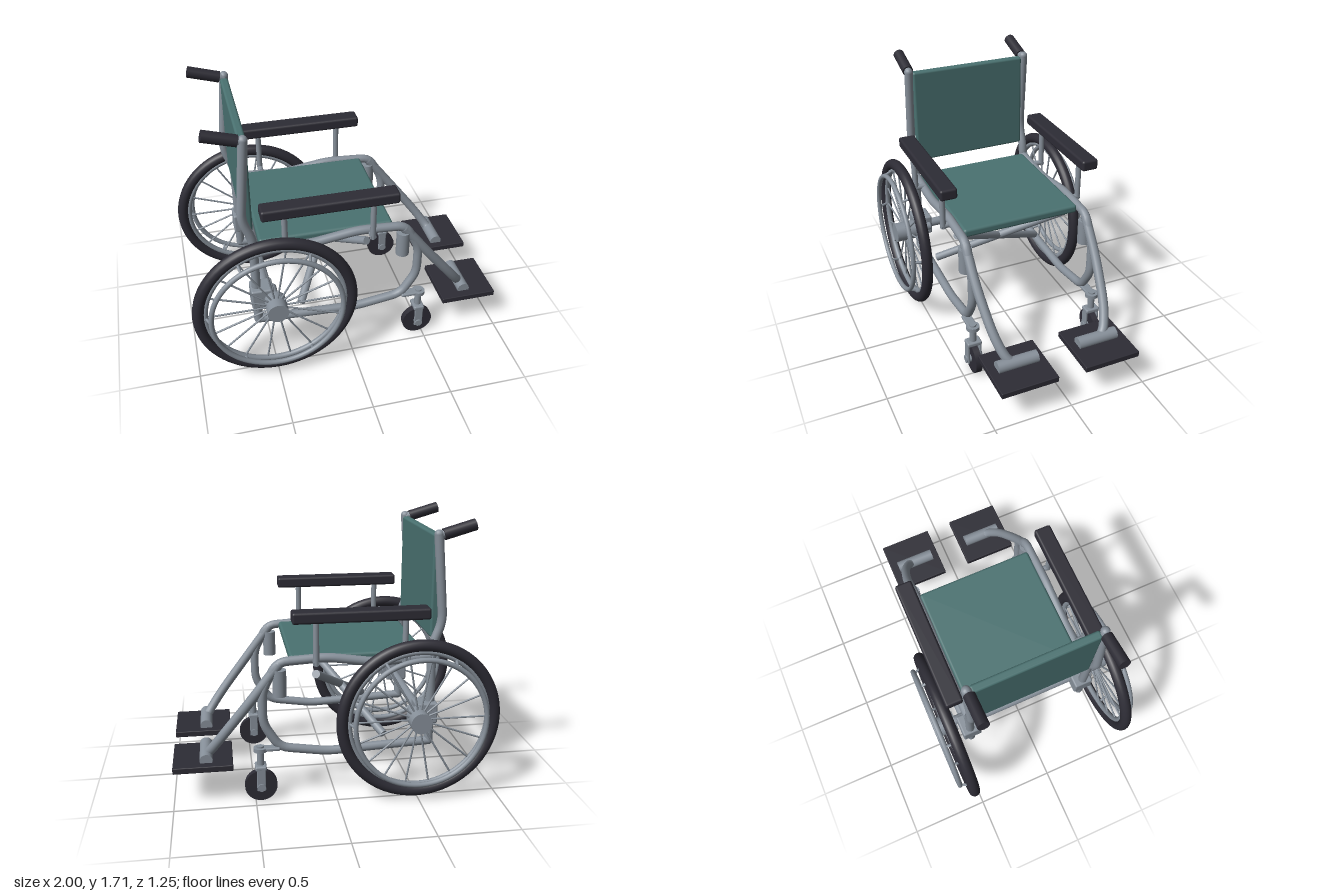
import * as THREE from 'three';
import { RoundedBoxGeometry } from 'three/addons/geometries/RoundedBoxGeometry.js';

export function createModel() {
  const mat = (name, color) => {
    const m = new THREE.MeshStandardMaterial({ color });
    m.name = name;
    return m;
  };
  const metal = mat('greyMetal', 0x87909a);
  const rubber = mat('darkRubber', 0x2d2c35);
  const fabric = mat('tealFabric', 0x4a7271);

  const V = (x, y, z) => new THREE.Vector3(x, y, z);
  const add = (parent, name, geometry, material, x = 0, y = 0, z = 0) => {
    const m = new THREE.Mesh(geometry, material);
    m.name = name;
    m.position.set(x, y, z);
    parent.add(m);
    return m;
  };
  const box = (parent, name, material, size, pos, r = 0.01) =>
    add(parent, name, new RoundedBoxGeometry(...size, 2, r), material, ...pos);

  // straight round bar between two points
  const bar = (parent, name, a, b, r, material = metal, sides = 16) => {
    const d = b.clone().sub(a);
    const m = add(parent, name, new THREE.CylinderGeometry(r, r, d.length(), sides), material);
    m.position.copy(a).addScaledVector(d, 0.5);
    m.quaternion.setFromUnitVectors(V(0, 1, 0), d.normalize());
    return m;
  };

  // bent tube: straight runs joined by rounded corners, with domed ends
  const pipe = (parent, name, pts, r, bend = 0.06) => {
    const path = new THREE.CurvePath();
    let from = pts[0];
    for (let i = 1; i < pts.length - 1; i++) {
      const p = pts[i];
      const toward = q => p.clone().add(q.clone().sub(p).setLength(Math.min(bend, p.distanceTo(q) * 0.45)));
      const a = toward(pts[i - 1]), b = toward(pts[i + 1]);
      path.add(new THREE.LineCurve3(from, a));
      path.add(new THREE.QuadraticBezierCurve3(a, p, b));
      from = b;
    }
    const end = pts[pts.length - 1];
    path.add(new THREE.LineCurve3(from, end));
    add(parent, name, new THREE.TubeGeometry(path, 90, r, 14), metal);
    for (const p of [pts[0], end]) add(parent, name + 'End', new THREE.SphereGeometry(r, 14, 10), metal, p.x, p.y, p.z);
  };

  // large rear wheel; s is the outward z direction
  const rearWheel = s => {
    const g = new THREE.Group();
    g.name = 'rearWheel';
    add(g, 'tire', new THREE.TorusGeometry(0.471, 0.036, 16, 72), rubber);
    add(g, 'rim', new THREE.TorusGeometry(0.43, 0.018, 12, 72), metal);
    add(g, 'handRim', new THREE.TorusGeometry(0.402, 0.016, 12, 72), metal, 0, 0, s * 0.072);
    bar(g, 'hub', V(0, 0, -s * 0.06), V(0, 0, s * 0.072), 0.065, metal, 28);
    const spokes = 18, tabs = 6;
    for (let i = 0; i < spokes; i++) {
      const a = i / spokes * Math.PI * 2;
      bar(g, 'spoke', V(Math.cos(a) * 0.05, Math.sin(a) * 0.05, 0), V(Math.cos(a) * 0.425, Math.sin(a) * 0.425, 0), 0.006, metal, 8);
    }
    for (let i = 0; i < tabs; i++) {
      const a = i / tabs * Math.PI * 2;
      bar(g, 'handRimTab', V(Math.cos(a) * 0.43, Math.sin(a) * 0.43, 0), V(Math.cos(a) * 0.402, Math.sin(a) * 0.402, s * 0.072), 0.009, metal, 8);
    }
    g.position.set(-0.492, 0.523, s * 0.537);
    return g;
  };

  // small swivelling front wheel with its fork
  const caster = s => {
    const g = new THREE.Group();
    g.name = 'caster';
    bar(g, 'casterTire', V(0, 0.1, -0.02), V(0, 0.1, 0.02), 0.1, rubber, 32);
    bar(g, 'casterAxle', V(0, 0.1, -0.055), V(0, 0.1, 0.055), 0.025);
    for (const k of [-1, 1]) box(g, 'forkLeg', metal, [0.055, 0.15, 0.014], [0, 0.15, k * 0.04], 0.005);
    box(g, 'forkCrown', metal, [0.07, 0.03, 0.095], [0, 0.222, 0]);
    bar(g, 'casterStem', V(0, 0.22, 0), V(0, 0.36, 0), 0.022);
    bar(g, 'stemCollar', V(0, 0.325, 0), V(0, 0.35, 0), 0.042);
    box(g, 'casterBracket', metal, [0.14, 0.022, 0.06], [-0.05, 0.34, 0], 0.008);
    g.position.set(0.465, 0, s * 0.418);
    return g;
  };

  const buildSide = s => {
    const g = new THREE.Group();
    g.name = s > 0 ? 'rightSide' : 'leftSide';
    const P = (x, y, z) => V(x, y, s * z);
    const z = 0.407;

    // frame tubes
    pipe(g, 'sideFrame', [
      P(-0.59, 0.885, z), P(-0.25, 0.86, z), P(0.05, 0.905, z), P(0.35, 0.888, z), P(0.445, 0.71, z),
      P(0.445, 0.5, z), P(0.345, 0.34, z), P(0.05, 0.295, z), P(-0.59, 0.325, z)], 0.028);
    pipe(g, 'backPost', [
      P(-0.605, 1.625, z), P(-0.65, 1.1, z), P(-0.592, 0.95, z), P(-0.592, 0.325, z)], 0.028);
    bar(g, 'handleStub', P(-0.605, 1.615, 0.402), P(-0.66, 1.633, 0.402), 0.025);
    bar(g, 'handleGrip', P(-0.635, 1.622, 0.402), P(-0.825, 1.677, 0.402), 0.035, rubber, 20);

    // armrest
    box(g, 'armPad', rubber, [0.82, 0.07, 0.108], [-0.14, 1.177, s * 0.468], 0.015);
    for (const x of [-0.41, 0.125]) {
      bar(g, 'armPost', P(x, 0.875, 0.466), P(x, 1.15, 0.466), 0.018);
      bar(g, 'armPostMount', P(x, 0.89, 0.48), P(x, 0.89, z), 0.018);
    }

    // axle block and wheels
    box(g, 'axleBlock', metal, [0.14, 0.135, 0.125], [-0.56, 0.525, s * 0.403], 0.012);
    bar(g, 'axle', P(-0.492, 0.523, 0.36), P(-0.492, 0.523, 0.54), 0.03);
    g.add(rearWheel(s), caster(s));

    // footrest
    bar(g, 'hangerSocket', P(0.34, 0.675, z), P(0.34, 0.84, z), 0.042, metal, 20);
    pipe(g, 'footHanger', [
      P(0.345, 0.87, z), P(0.5, 0.665, 0.405), P(0.69, 0.42, 0.375), P(0.785, 0.285, 0.325), P(0.795, 0.27, 0.25)], 0.03, 0.12);
    bar(g, 'footTube', P(0.795, 0.272, 0.4), P(0.795, 0.272, 0.138), 0.04, metal, 20);
    box(g, 'footPlate', rubber, [0.365, 0.038, 0.365], [0.815, 0.239, s * 0.272], 0.005);

    // folding cross brace
    bar(g, 'crossBrace', P(0.115, 0.79, 0.375), P(-0.31, 0.37, -0.375), 0.026);
    return g;
  };

  const chair = new THREE.Group();
  chair.name = 'wheelchair';
  chair.add(buildSide(1), buildSide(-1));
  bar(chair, 'axleTube', V(-0.53, 0.523, -0.36), V(-0.53, 0.523, 0.36), 0.03);
  box(chair, 'seat', fabric, [0.83, 0.055, 0.77], [-0.14, 0.89, 0], 0.018);
  box(chair, 'backrest', fabric, [0.05, 0.63, 0.77], [-0.608, 1.307, 0], 0.015);
  return chair;
}
